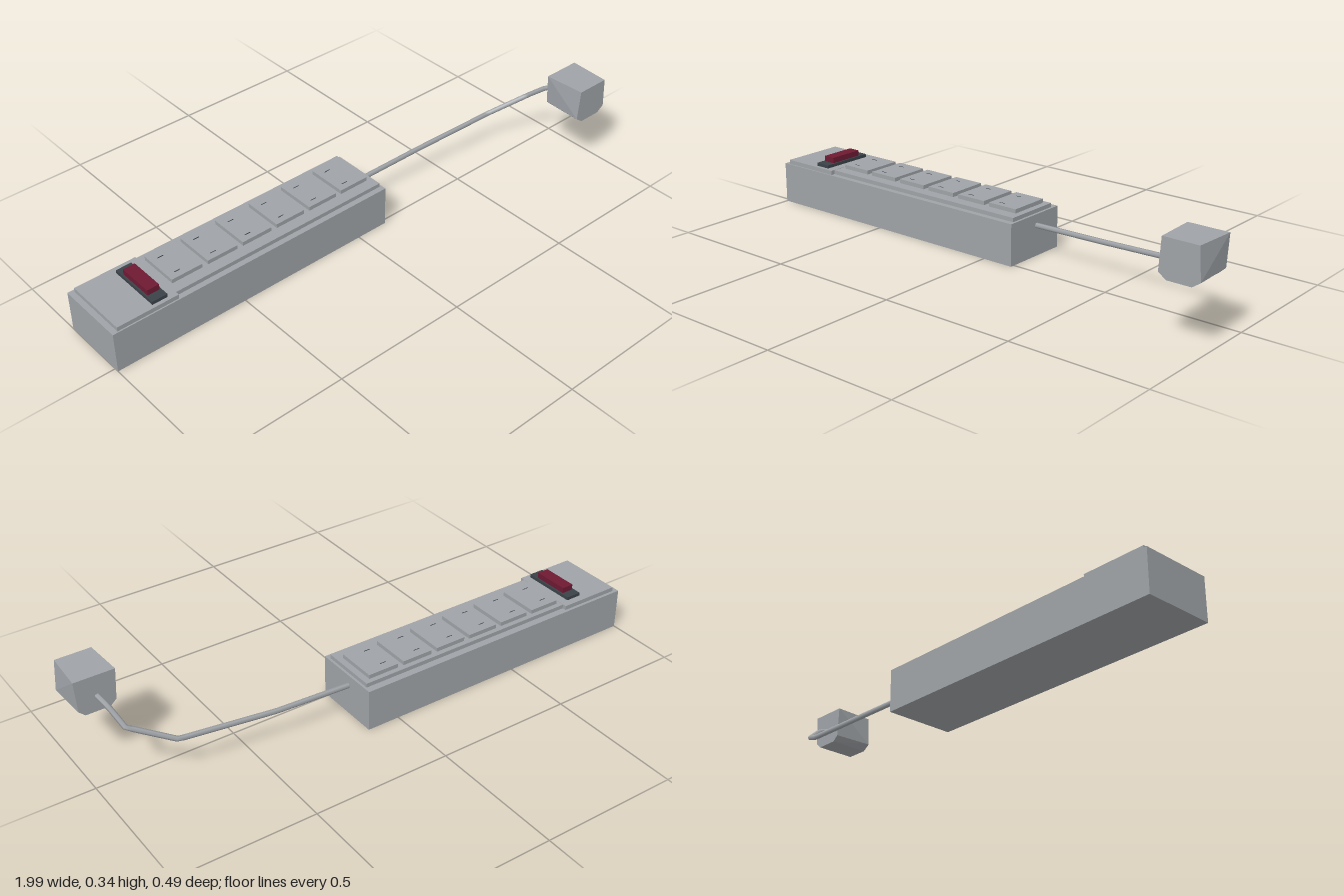
import * as THREE from 'three';

const mat = (name, color) => {
  const m = new THREE.MeshStandardMaterial({ color });
  m.name = name;
  return m;
};

export function createModel() {
  const group = new THREE.Group();
  const grey = mat('grey plastic', 0x9fa3a7);
  const dark = mat('dark plastic', 0x3a4249);
  const red = mat('red switch', 0x6e1a33);

  const add = (name, geometry, material) => {
    const mesh = new THREE.Mesh(geometry, material);
    mesh.name = name;
    group.add(mesh);
    return mesh;
  };
  // Box given by its limits on each axis
  const box = (name, material, [x0, x1], [y0, y1], [z0, z1]) =>
    add(name, new THREE.BoxGeometry(x1 - x0, y1 - y0, z1 - z0), material)
      .position.set((x0 + x1) / 2, (y0 + y1) / 2, (z0 + z1) / 2);

  // Housing and its raised, stepped lid
  box('body', grey, [-1, 0.122], [0, 0.153], [-0.243, 0.016]);
  box('switchPlate', grey, [-0.98, -0.75], [0.152, 0.169], [-0.232, 0.011]);
  box('socketPlate', grey, [-0.751, 0.113], [0.152, 0.168], [-0.217, -0.005]);

  // Rocker switch
  box('switchFrame', dark, [-0.84, -0.782], [0.168, 0.181], [-0.205, -0.003]);
  box('switchRocker', red, [-0.833, -0.788], [0.18, 0.202], [-0.172, -0.037]);

  // Row of six sockets, each with a pair of fine slots
  for (let i = 0; i < 6; i++) {
    const x = -0.734 + i * 0.1412;
    box('socket', grey, [x, x + 0.118], [0.167, 0.183], [-0.199, -0.047]);
    for (const z of [-0.165, -0.073])
      box('socketSlot', dark, [x + 0.027, x + 0.05], [0.182, 0.1835], [z - 0.0015, z + 0.0015]);
  }

  // Cable, bent in a few straight runs
  const path = new THREE.CurvePath();
  const points = [
    [0.11, 0.112, -0.124], [0.4, 0.119, -0.117], [0.745, 0.139, -0.09],
    [0.885, 0.199, -0.016], [0.907, 0.25, 0.045], [0.92, 0.27, 0.1],
  ].map((p) => new THREE.Vector3(...p));
  for (let i = 1; i < points.length; i++) path.add(new THREE.LineCurve3(points[i - 1], points[i]));
  add('cable', new THREE.TubeGeometry(path, 40, 0.0095, 6), grey);

  // Plug: a chamfered block with slightly twisted sides, lofted front to back
  const section = (top, mid, z) => [
    [-0.043, 0.213], [0.043, 0.213], [mid, 0.233], [top, 0.345], [-top, 0.345], [-mid, 0.233],
  ].map(([x, y]) => [0.922 + x, y, z]);
  const front = section(0.064, 0.072, 0.245);
  const back = section(0.072, 0.065, 0.093);
  const pos = [];
  const tri = (...corners) => corners.forEach((c) => pos.push(...c));
  for (let i = 0; i < 6; i++) {
    const j = (i + 1) % 6;
    if (i === 4) { // mirrored diagonal on the left-hand wall
      tri(front[i], back[i], front[j]);
      tri(back[i], back[j], front[j]);
    } else {
      tri(front[i], back[i], back[j]);
      tri(front[i], back[j], front[j]);
    }
    if (i > 0 && i < 5) {
      tri(front[0], front[i], front[j]);
      tri(back[0], back[j], back[i]);
    }
  }
  const plug = new THREE.BufferGeometry();
  plug.setAttribute('position', new THREE.Float32BufferAttribute(pos, 3));
  plug.computeVertexNormals();
  add('plug', plug, grey);

  return group;
}
